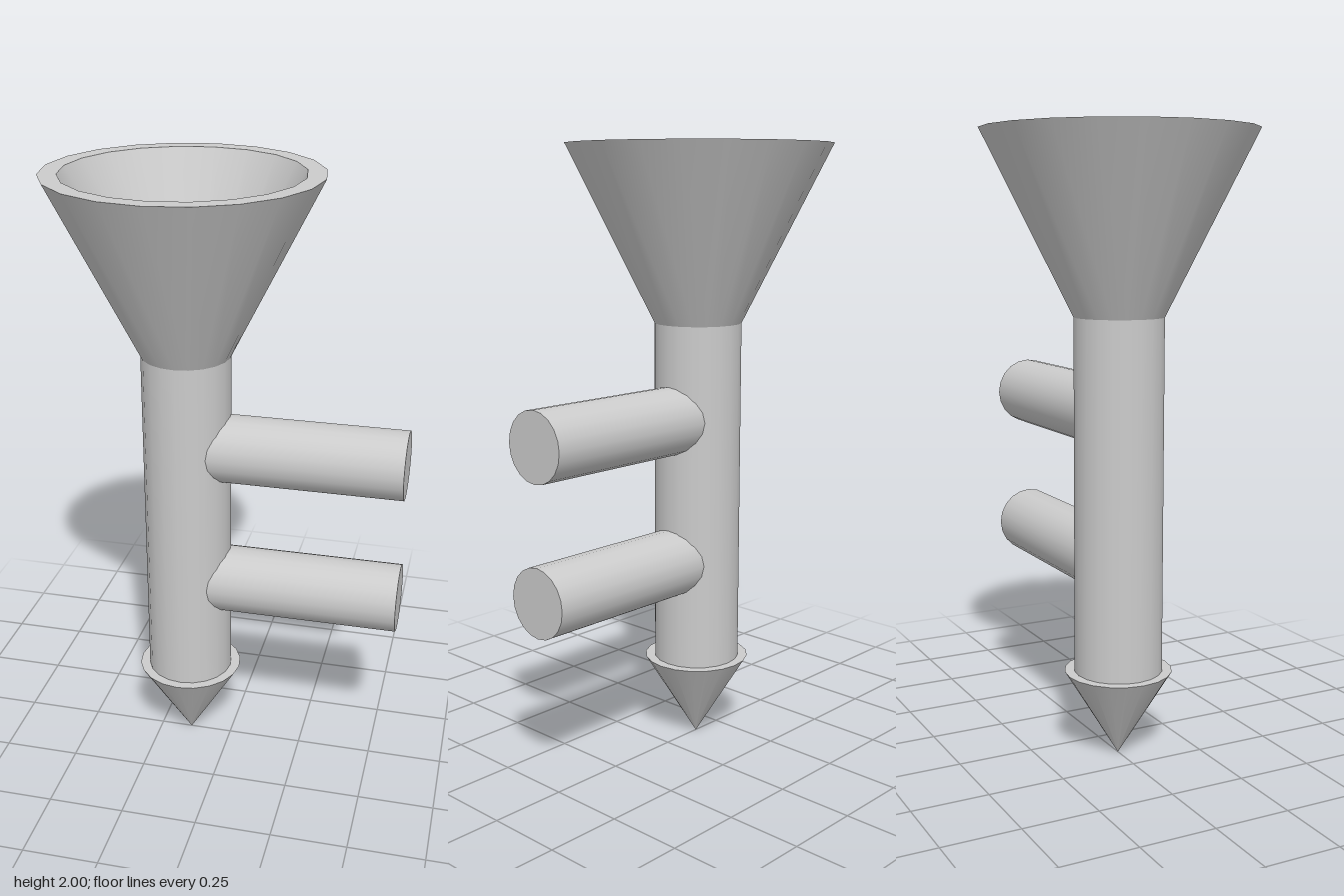
import * as THREE from 'three';

const SIDES = 20;
const AXIS_X = -0.143;

export function createModel() {
  const model = new THREE.Group();
  const material = new THREE.MeshStandardMaterial({ color: 0xcccccc });

  function add(parent, name, geometry) {
    const mesh = new THREE.Mesh(geometry, material);
    mesh.name = name;
    parent.add(mesh);
    return mesh;
  }

  // One revolved band between two [radius, height] points; separate bands keep edges sharp
  const band = (a, b) =>
    new THREE.LatheGeometry([new THREE.Vector2(...a), new THREE.Vector2(...b)], SIDES);

  // The bottom of the funnel's hollow is slightly oval
  const FLOOR_Y = 1.66;
  function ovalFloor(geometry) {
    const p = geometry.attributes.position;
    for (let i = 0; i < p.count; i++) {
      if (p.getY(i) < FLOOR_Y + 0.001) {
        p.setX(i, p.getX(i) * 0.95);
        p.setZ(i, p.getZ(i) * 1.1);
      }
    }
    return geometry;
  }

  // Funnel: outer wall, flat rim, inner wall and floor
  const funnel = new THREE.Group();
  funnel.name = 'funnel';
  funnel.position.x = AXIS_X;
  add(funnel, 'funnelOuterWall', band([0.143, 1.43], [0.429, 2]));
  add(funnel, 'funnelRim', band([0.429, 2], [0.371, 2]));
  add(funnel, 'funnelInnerWall', ovalFloor(band([0.371, 2], [0.2, FLOOR_Y])));
  add(funnel, 'funnelFloor', ovalFloor(band([0.2, FLOOR_Y], [0, FLOOR_Y])));
  model.add(funnel);

  // Shaft, ending just above the funnel floor
  const bottom = 0.286;
  const top = FLOOR_Y + 0.002;
  const shaft = add(model, 'shaft', new THREE.CylinderGeometry(0.143, 0.143, top - bottom, SIDES));
  shaft.position.set(AXIS_X, (top + bottom) / 2, 0);

  // Pointed tip with a flat shoulder
  const tip = new THREE.Group();
  tip.name = 'tip';
  tip.position.x = AXIS_X;
  add(tip, 'tipCone', band([0, 0], [0.175, 0.286]));
  add(tip, 'tipShoulder', band([0.175, 0.286], [0, 0.286]));
  model.add(tip);

  // Two pegs reaching out to the side
  const pegLength = 0.571 - AXIS_X;
  [['upperPeg', 1.12], ['lowerPeg', 0.64]].forEach(([name, y]) => {
    const peg = add(model, name, new THREE.CylinderGeometry(0.112, 0.112, pegLength, SIDES));
    peg.rotation.z = -Math.PI / 2;
    peg.position.set(AXIS_X + pegLength / 2, y, 0);
  });

  return model;
}
